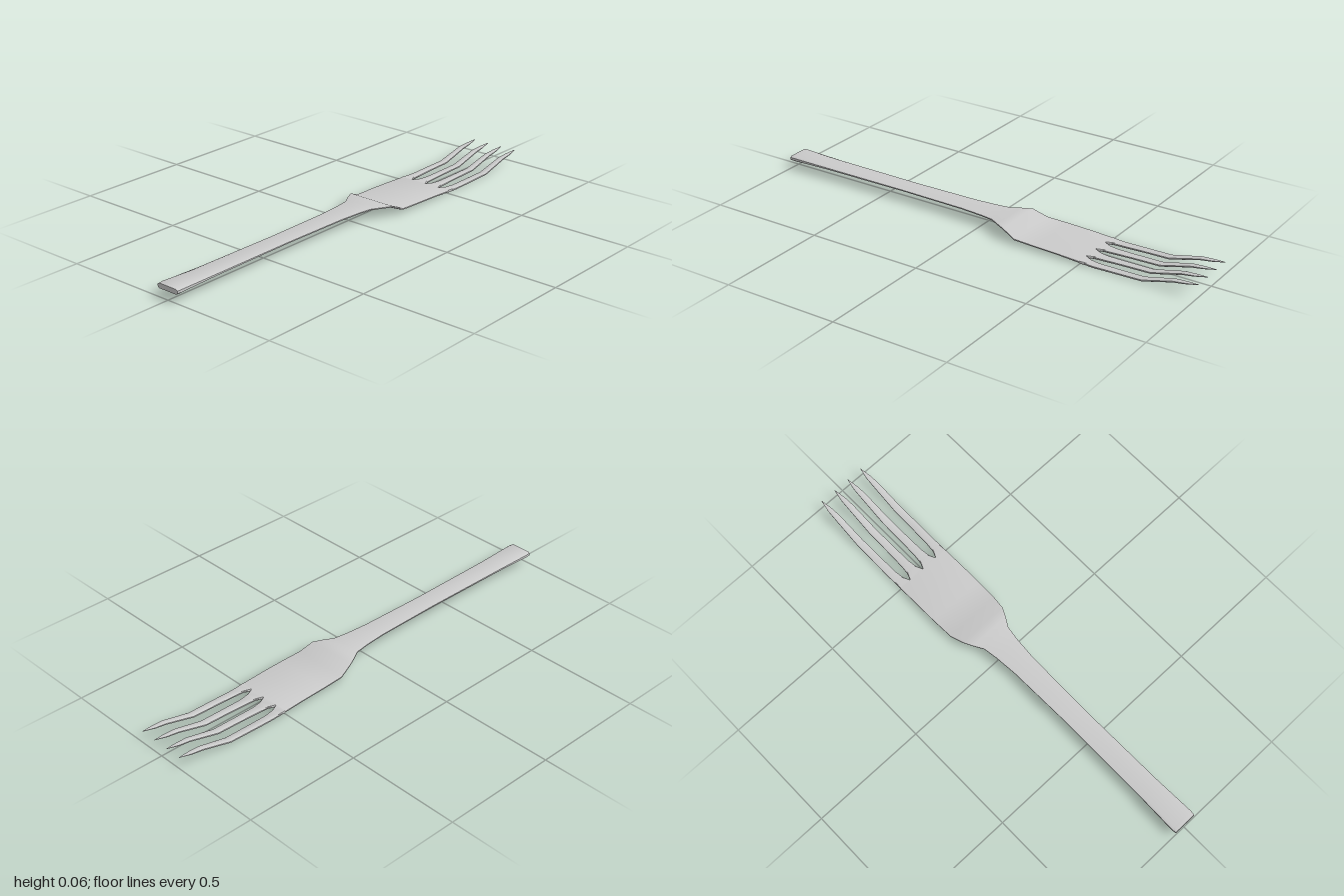
import * as THREE from 'three';
import { toCreasedNormals } from 'three/addons/utils/BufferGeometryUtils.js';

// Solid skinned along x through bevelled sections.
// Station: [x, bottom y, top y, z min, z max, bevel]
function loft(name, stations, material) {
  const pos = [], index = [], n = 8;
  for (const [x, y0, y1, z0, z1, b] of stations) {
    const q = (y1 - y0) / 4;
    const ring = [
      [z0 + b, y1], [z1 - b, y1], [z1, y1 - q], [z1, y0 + q],
      [z1 - b, y0], [z0 + b, y0], [z0, y0 + q], [z0, y1 - q],
    ];
    for (const [z, y] of ring) pos.push(x, y, z);
  }
  const last = (stations.length - 1) * n;
  for (let s = 0; s < last; s += n) {
    for (let j = 0; j < n; j++) {
      const a = s + j, b = s + (j + 1) % n;
      index.push(a, b, b + n, a, b + n, a + n);
    }
  }
  // end caps
  for (let j = 1; j < n - 1; j++) {
    index.push(0, j + 1, j, last, last + j, last + j + 1);
  }
  const g = new THREE.BufferGeometry();
  g.setAttribute('position', new THREE.Float32BufferAttribute(pos, 3));
  g.setIndex(index);
  const mesh = new THREE.Mesh(toCreasedNormals(g, 0.65), material);
  mesh.name = name;
  return mesh;
}

export function createModel() {
  const fork = new THREE.Group();
  fork.name = 'fork';
  const metal = new THREE.MeshStandardMaterial({ color: 0xcccccc });

  // handle, neck and head: [x, bottom, top, half width, bevel]
  const body = [
    [-1.0, 0.036, 0.057, 0.051, 0.007],
    [-0.98, 0.036, 0.058, 0.053, 0.008],
    [-0.8, 0.040, 0.053, 0.048, 0.010],
    [-0.4, 0.042, 0.051, 0.045, 0.010],
    [-0.1, 0.042, 0.051, 0.050, 0.010],
    [0.0, 0.042, 0.051, 0.058, 0.010],
    [0.06, 0.042, 0.051, 0.067, 0.010],
    [0.10, 0.042, 0.051, 0.090, 0.010],
    [0.14, 0.041, 0.050, 0.110, 0.010],
    [0.20, 0.016, 0.026, 0.122, 0.009],
    [0.30, 0.014, 0.023, 0.125, 0.008],
    [0.40, 0.011, 0.020, 0.125, 0.006],
    [0.50, 0.005, 0.015, 0.125, 0.003],
  ].map(([x, y0, y1, h, b]) => [x, y0, y1, -h, h, b]);
  fork.add(loft('handleAndHead', body, metal));

  // four tines: roots share the head's end, then narrow and curve up to a point
  const rows = [
    [0.53, 0.003, 0.013, 0.024, 0.003],
    [0.57, 0.001, 0.012, 0.019, 0.004],
    [0.66, 0.003, 0.014, 0.017, 0.005],
    [0.77, 0.005, 0.016, 0.016, 0.005],
    [0.90, 0.038, 0.048, 0.013, 0.005],
    [0.95, 0.045, 0.052, 0.010, 0.004],
    [1.0, 0.054, 0.056, 0.001, 0.0005],
  ];
  const edges = [-0.125, -0.0715, 0, 0.0715, 0.125];
  [-0.108, -0.036, 0.036, 0.108].forEach((c, i) => {
    const stations = [[0.50, 0.005, 0.015, edges[i], edges[i + 1], 0.001]];
    for (const [x, y0, y1, h, b] of rows) {
      stations.push([x, y0, y1, Math.max(c - h, -0.125), Math.min(c + h, 0.125), b]);
    }
    fork.add(loft('tine' + (i + 1), stations, metal));
  });
  return fork;
}
